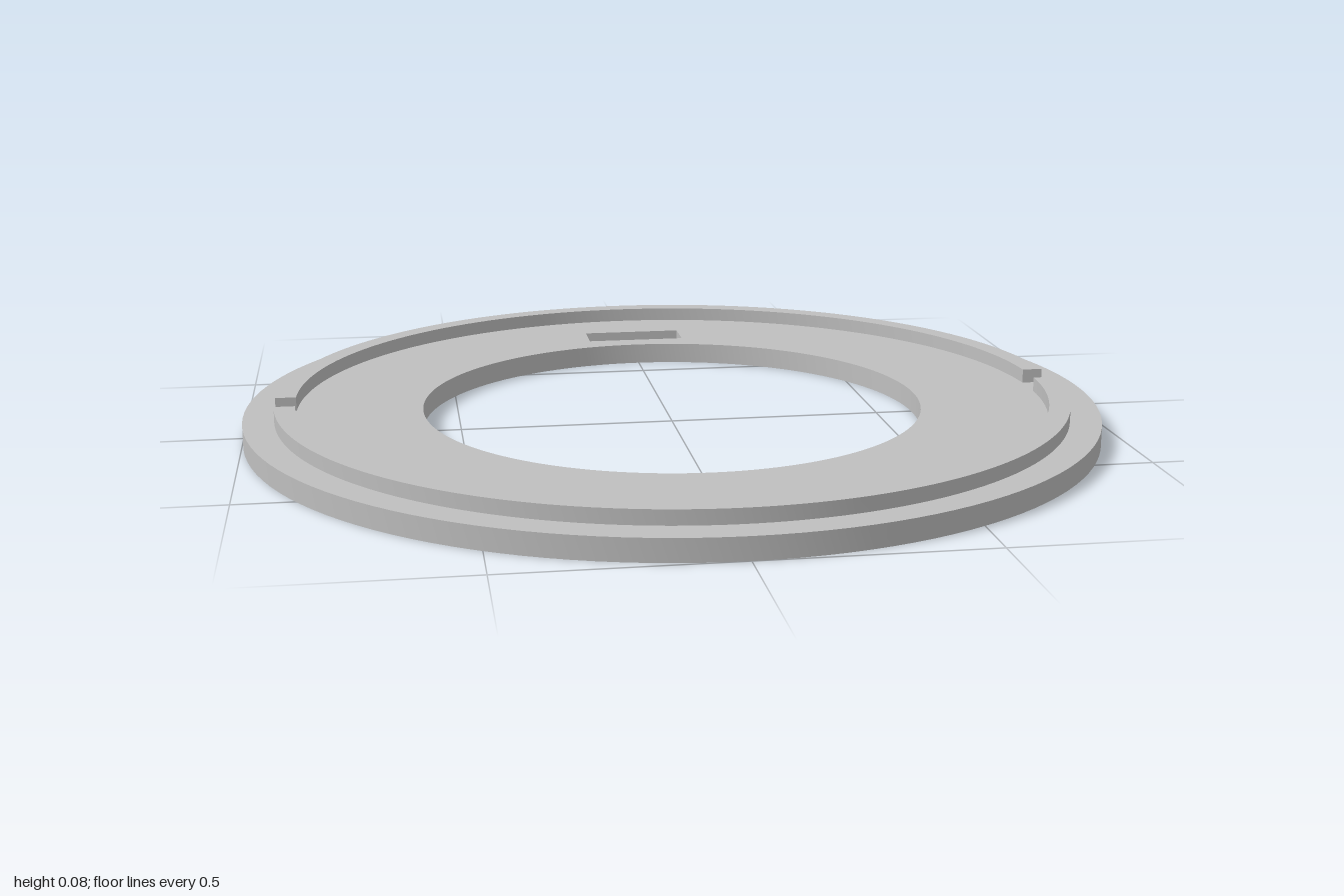
import * as THREE from 'three';
import { toCreasedNormals } from 'three/addons/utils/BufferGeometryUtils.js';

const PLATE_HEIGHT = 0.05;
const RIDGE_HEIGHT = 0.033;

// Extrudes a plan shape upward; shape +y becomes -z (the back)
function extrudeUp(shape, depth, curveSegments) {
  const geometry = new THREE.ExtrudeGeometry(shape, { depth, curveSegments, bevelEnabled: false });
  geometry.rotateX(-Math.PI / 2);
  return toCreasedNormals(geometry, 0.5);
}

// Flat ring with a round opening and a rectangular slot near the back
function plateShape() {
  const shape = new THREE.Shape().absarc(0, 0, 1, 0, Math.PI * 2, false);
  const opening = new THREE.Path().absarc(0, 0, 0.587, 0, Math.PI * 2, true);
  const slot = new THREE.Path([
    new THREE.Vector2(-0.125, 0.643),
    new THREE.Vector2(-0.125, 0.738),
    new THREE.Vector2(0.125, 0.738),
    new THREE.Vector2(0.125, 0.643),
  ]);
  slot.closePath();
  shape.holes.push(opening, slot);
  return shape;
}

// Half-ring lip whose ends are cut parallel to the x axis
function ridgeShape() {
  const outer = 0.928, inner = 0.88, halfGap = 0.04;
  const a = Math.asin(halfGap / outer);
  const b = Math.asin(halfGap / inner);
  const shape = new THREE.Shape();
  shape.absarc(0, 0, outer, a, Math.PI - a, false);
  shape.absarc(0, 0, inner, Math.PI - b, b, true);
  shape.closePath();
  return shape;
}

export function createModel() {
  const group = new THREE.Group();
  group.name = 'ringPlate';
  const grey = new THREE.MeshStandardMaterial({ color: 0xbfbfbf });
  grey.name = 'grey';

  const plate = new THREE.Mesh(extrudeUp(plateShape(), PLATE_HEIGHT, 64), grey);
  plate.name = 'basePlate';
  group.add(plate);

  // Two raised lips, back and front, with a gap at either side
  const ridgeGeometry = extrudeUp(ridgeShape(), RIDGE_HEIGHT, 48);
  ['backRidge', 'frontRidge'].forEach((name, i) => {
    const ridge = new THREE.Mesh(ridgeGeometry, grey);
    ridge.name = name;
    ridge.position.y = PLATE_HEIGHT;
    ridge.rotation.y = i * Math.PI;
    group.add(ridge);
  });

  return group;
}
